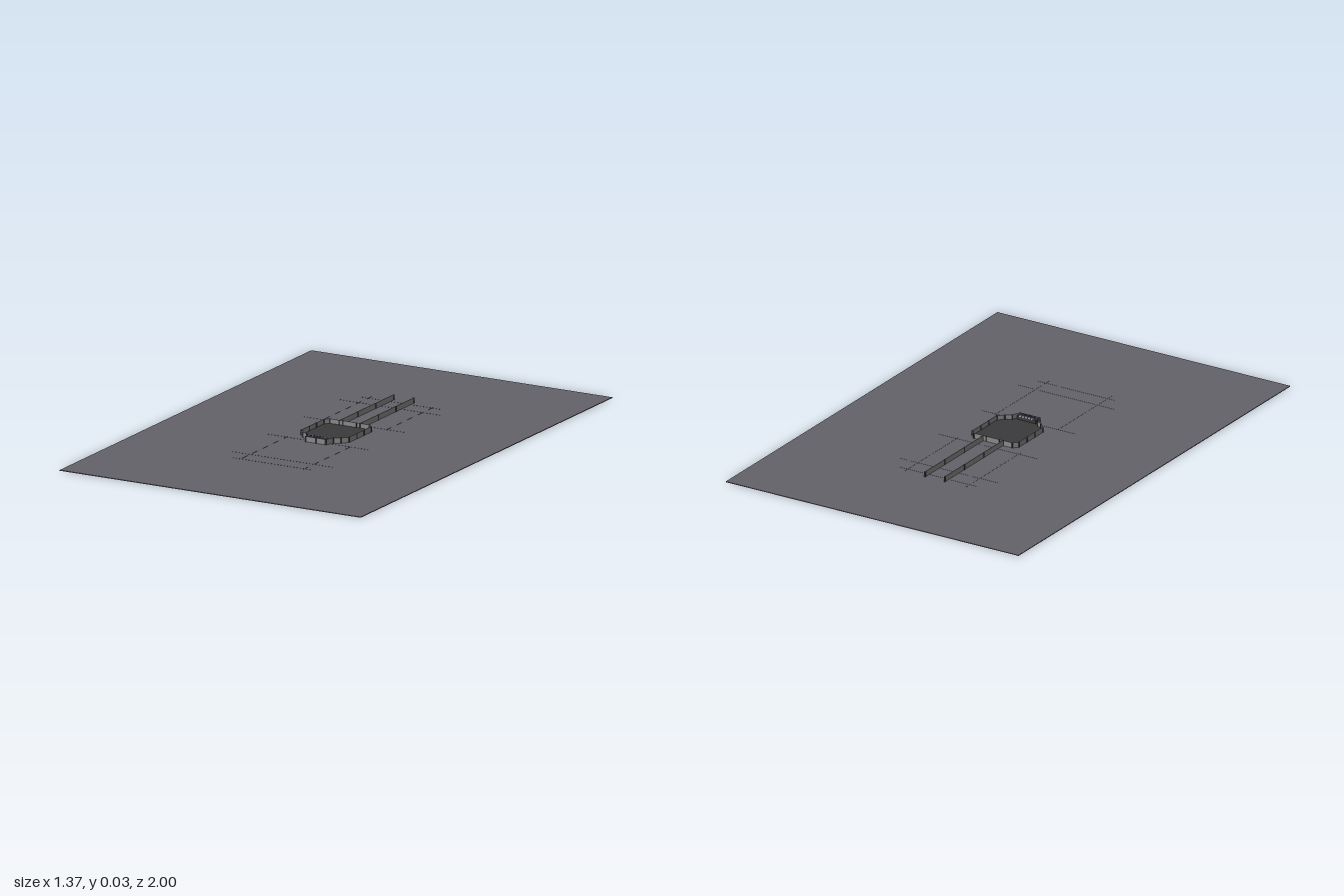
import * as THREE from 'three';

const mat = (color) => new THREE.MeshStandardMaterial({ color, side: THREE.DoubleSide, flatShading: true });

export function createModel() {
  const model = new THREE.Group();
  const ground = mat(0x64626a), dark = mat(0x3a3a3c), wall = mat(0x88888a);
  const line = mat(0x55545c), pale = mat(0xdddddd), blue = mat(0x3a4a9a);
  const TOP = 0.003, RIM = 0.025;

  const box = (name, w, h, d, x, y, z, material, parent = model) => {
    const m = new THREE.Mesh(new THREE.BoxGeometry(w, h, d), material);
    m.name = name;
    m.position.set(x, y + h / 2, z);
    parent.add(m);
    return m;
  };

  // Ground slab
  box('groundSlab', 1.37, TOP, 2, 0, 0, 0, ground);

  // Thin markings around the arena
  const marks = new THREE.Group();
  marks.name = 'groundMarkings';
  model.add(marks);
  for (const [z, half] of [[-0.51, 0.18], [-0.435, 0.23], [-0.15, 0.23], [0.14, 0.23], [0.43, 0.23], [0.505, 0.18]])
    box('crossMarking', half * 2, 0.0005, 0.002, 0, TOP, z, line, marks);
  for (const x of [-0.145, 0.145])
    for (const s of [-1, 1]) box('longMarking', 0.002, 0.0005, 0.4, x, TOP, s * 0.335, line, marks);

  // Enclosure outline, mirrored from its +x half
  const half = [[0.045, 0.16], [0.06, 0.125], [0.085, 0.11], [0.108, 0.085], [0.108, -0.09], [0.09, -0.11]];
  const outline = [...half, ...half.map(([x, z]) => [-x, z]).reverse()];

  // Dark floor
  const shape = new THREE.Shape(outline.map(([x, z]) => new THREE.Vector2(x, -z)));
  const floor = new THREE.Mesh(
    new THREE.ExtrudeGeometry(shape, { depth: 0.003, bevelEnabled: false }).rotateX(-Math.PI / 2), dark);
  floor.name = 'enclosureFloor';
  floor.position.y = TOP;
  model.add(floor);

  // Wall panel between two points, with evenly spaced posts
  const fence = (name, [x0, z0], [x1, z1], posts) => {
    const g = new THREE.Group();
    g.name = name;
    model.add(g);
    const len = Math.hypot(x1 - x0, z1 - z0);
    const panel = box('panel', len, RIM - TOP, 0.003, (x0 + x1) / 2, TOP, (z0 + z1) / 2, wall, g);
    panel.rotation.y = -Math.atan2(z1 - z0, x1 - x0);
    for (let i = 0; i <= posts; i++) {
      const t = i / posts;
      box('post', 0.006, RIM - TOP, 0.006, x0 + (x1 - x0) * t, TOP, z0 + (z1 - z0) * t, dark, g);
    }
  };
  outline.forEach((p, i) => {
    const q = outline[(i + 1) % outline.length];
    fence('enclosureWall', p, q, Math.max(1, Math.round(Math.hypot(q[0] - p[0], q[1] - p[1]) / 0.06)));
  });

  // Two long walls of the rear passage
  for (const x of [-0.046, 0.046]) fence('passageWall', [x, -0.11], [x, -0.537], 3);

  // Front stand with a row of small markers
  box('frontStand', 0.088, 0.018, 0.024, 0, TOP, 0.147, dark);
  for (let i = -2; i <= 2; i++) {
    box('standMarker', 0.009, 0.006, 0.008, i * 0.014, 0.021, 0.135, pale);
    box('standSeat', 0.007, 0.008, 0.005, i * 0.014, 0.021, 0.149, i % 2 ? dark : blue);
  }
  return model;
}
